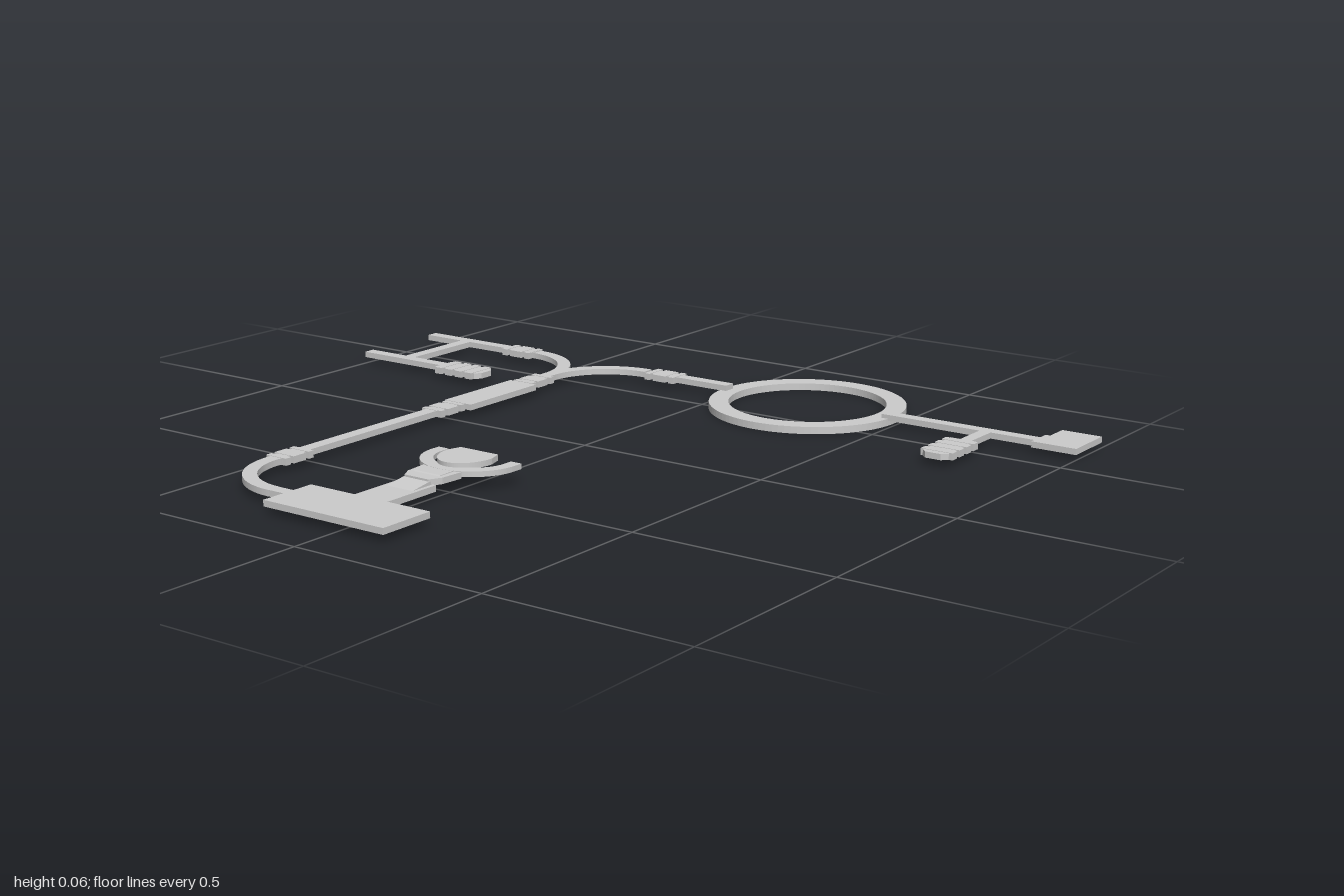
import * as THREE from 'three';

const LOW = 0.017, HIGH = 0.032; // deck heights of the main track

export function createModel() {
  const model = new THREE.Group();
  const material = new THREE.MeshStandardMaterial({ color: 0xcccccc });

  const add = (name, geometry, parent = model) => {
    const mesh = new THREE.Mesh(geometry, material);
    mesh.name = name;
    parent.add(mesh);
    return mesh;
  };

  // Box given by its extents in plan
  const block = (name, x0, x1, z0, z1, y0 = LOW, y1 = HIGH, parent = model) => {
    const mesh = add(name, new THREE.BoxGeometry(x1 - x0, y1 - y0, z1 - z0), parent);
    mesh.position.set((x0 + x1) / 2, (y0 + y1) / 2, (z0 + z1) / 2);
    return mesh;
  };

  // Plan outline (x, -z) extruded upward
  const slab = (name, shape, y0 = LOW, y1 = HIGH, parent = model) => {
    const geometry = new THREE.ExtrudeGeometry(shape, { depth: y1 - y0, bevelEnabled: false, curveSegments: 24 });
    geometry.rotateX(-Math.PI / 2).translate(0, y0, 0);
    return add(name, geometry, parent);
  };

  const outline = (points) => new THREE.Shape(points.map(([x, z]) => new THREE.Vector2(x, -z)));

  // Curved corridor around a centre, angles measured in plan with -z as up
  const bend = (name, x, z, radius, width, a0, a1, y0 = LOW, y1 = HIGH) => {
    const shape = new THREE.Shape();
    shape.absarc(x, -z, radius + width / 2, a0, a1, false);
    shape.absarc(x, -z, radius - width / 2, a1, a0, true);
    return slab(name, shape, y0, y1);
  };

  // Coupling: core with three wider collars, along x unless turned
  const coupling = (name, x, z, turned = false) => {
    const group = new THREE.Group();
    group.name = name;
    block('core', -0.048, 0.048, -0.021, 0.021, LOW, HIGH, group);
    for (const [a, b] of [[-0.046, -0.03], [-0.02, 0.02], [0.03, 0.046]])
      block('collar', a, b, -0.031, 0.031, LOW - 0.001, HIGH + 0.001, group);
    group.position.set(x, 0, z);
    if (turned) group.rotation.y = Math.PI / 2;
    model.add(group);
  };

  // Ribbed pod with chamfered tip pointing along -x before turning
  const pod = (name, x, z, angle) => {
    const group = new THREE.Group();
    group.name = name;
    slab('podBody', outline([[-0.074, -0.02], [-0.06, -0.034], [0.074, -0.034],
      [0.074, 0.034], [-0.06, 0.034], [-0.074, 0.02]]), LOW, HIGH, group);
    for (let i = 0; i < 4; i++) {
      const c = -0.045 + i * 0.034;
      block('rib', c - 0.011, c + 0.011, -0.042, 0.042, LOW - 0.001, HIGH + 0.001, group);
    }
    group.position.set(x, 0, z);
    group.rotation.y = angle;
    model.add(group);
  };

  // Main corridor with its left-hand bend
  block('stationHall', -0.87, -0.72, -0.215, 0.13);
  block('hallCorridor', -0.808, -0.776, -0.26, -0.21);
  bend('hallBend', -0.617, -0.26, 0.175, 0.034, Math.PI / 2, Math.PI);
  coupling('bendCoupling', -0.557, -0.435);
  block('longCorridor', -0.62, -0.02, -0.452, -0.418);
  coupling('middleCoupling', -0.007, -0.435);
  block('centralHall', 0.045, 0.31, -0.475, -0.39);
  coupling('forkCoupling', 0.357, -0.435);
  block('forkStem', 0.39, 0.43, -0.452, -0.418);

  // Fork into two branches
  bend('backBranch', 0.425, -0.621, 0.186, 0.034, -Math.PI / 2, 0);
  bend('frontBranch', 0.425, -0.249, 0.186, 0.034, 0, Math.PI / 2);
  coupling('backCoupling', 0.611, -0.673, true);
  coupling('frontCoupling', 0.611, -0.192, true);

  // Back frame with a pod
  block('backCorridor', 0.595, 0.627, -1, -0.7);
  block('crossCorridor', 0.345, 0.605, -0.88, -0.848);
  block('sideCorridor', 0.329, 0.361, -1, -0.72);
  pod('backPod', 0.344, -0.658, Math.PI / 2);

  // Ring and the corridors that reach it
  block('ringCorridor', 0.595, 0.627, -0.16, 0.01);
  bend('ringLower', 0.621, 0.24, 0.225, 0.05, 0, Math.PI, 0, 0.018);
  bend('ringUpper', 0.621, 0.24, 0.225, 0.05, Math.PI, Math.PI * 2, 0, 0.018);

  // Front corridor, pod and end building
  block('frontCorridor', 0.595, 0.627, 0.47, 0.89, 0.013, 0.028);
  block('podCorridor', 0.475, 0.605, 0.74, 0.77, 0.013, 0.028);
  pod('frontPod', 0.411, 0.755, 0);
  slab('endBuilding', outline([[0.58, 0.885], [0.655, 0.885], [0.655, 0.897], [0.72, 0.897],
    [0.72, 1], [0.58, 1]]), 0.013, 0.028);

  // Walkway that steps and slopes up to the dock
  const dockZ = -0.038;
  block('dockCorridor', -0.725, -0.56, dockZ - 0.048, dockZ + 0.048);
  const ramp = new THREE.ExtrudeGeometry(new THREE.Shape([
    new THREE.Vector2(-0.64, 0.03), new THREE.Vector2(-0.57, 0.03), new THREE.Vector2(-0.47, 0.034),
    new THREE.Vector2(-0.47, 0.047), new THREE.Vector2(-0.53, 0.046)]), { depth: 0.075, bevelEnabled: false });
  add('dockRamp', ramp.translate(0, 0, dockZ - 0.0375));
  slab('dockNeck', outline([[-0.57, dockZ - 0.035], [-0.54, dockZ - 0.05], [-0.48, dockZ - 0.055],
    [-0.46, dockZ], [-0.48, dockZ + 0.055], [-0.54, dockZ + 0.05], [-0.57, dockZ + 0.035]]), 0.03, 0.045);

  // Open claw around a raised half-round platform
  const claw = new THREE.Shape();
  claw.absellipse(-0.375, -dockZ, 0.118, 0.122, Math.PI / 2, Math.PI * 1.5, false);
  claw.lineTo(-0.35, -dockZ - 0.122);
  claw.lineTo(-0.35, -dockZ - 0.092);
  claw.absellipse(-0.375, -dockZ, 0.085, 0.092, Math.PI * 1.5, Math.PI / 2, true);
  claw.lineTo(-0.35, -dockZ + 0.092);
  claw.lineTo(-0.35, -dockZ + 0.122);
  slab('dockClaw', claw, 0.034, 0.047);

  const platform = new THREE.Shape();
  platform.absellipse(-0.385, -dockZ, 0.085, 0.065, Math.PI / 2, Math.PI * 1.5, false);
  platform.lineTo(-0.35, -dockZ - 0.055);
  platform.lineTo(-0.35, -dockZ + 0.055);
  slab('dockPlatform', platform, 0.043, 0.057);

  return model;
}
